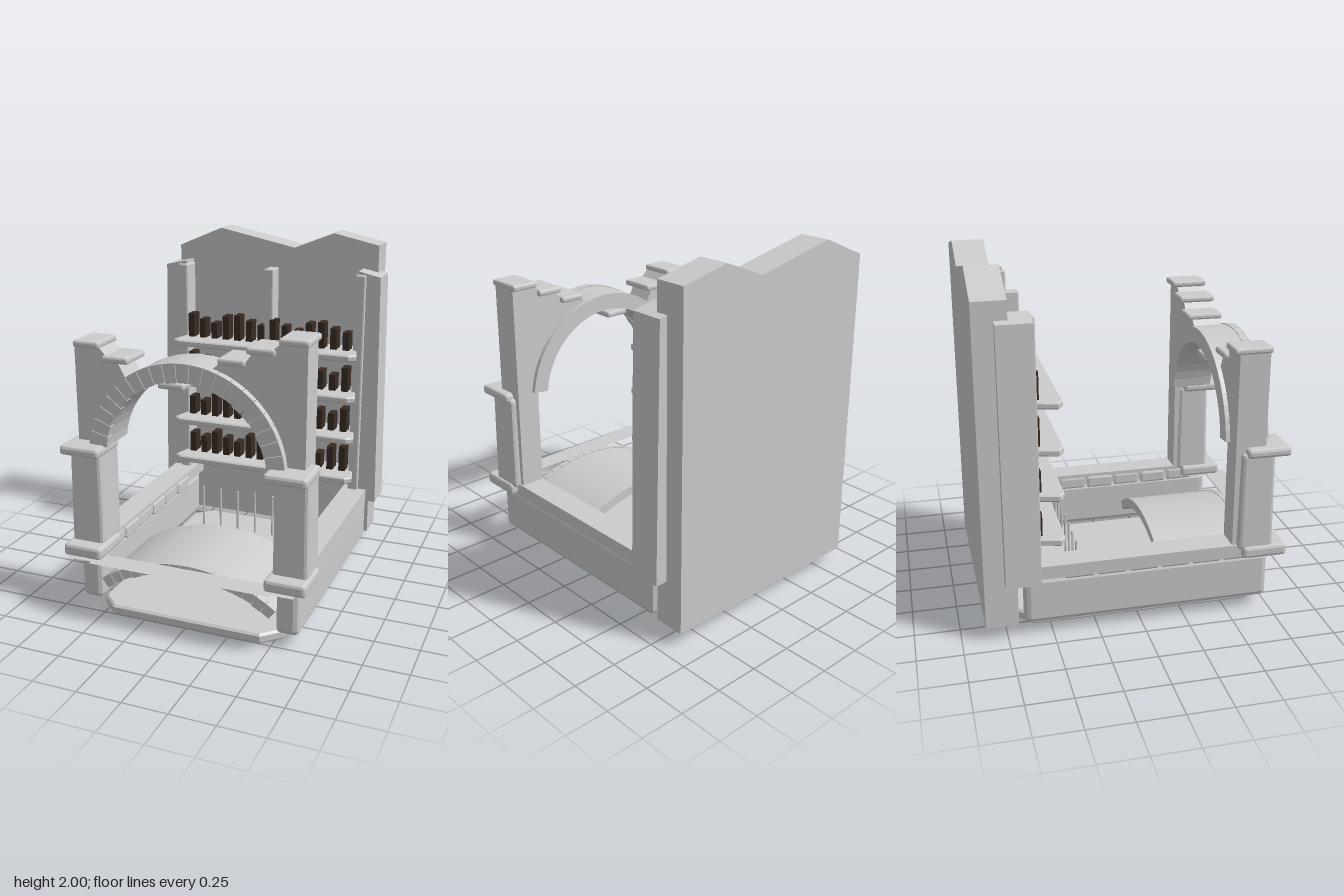
import * as THREE from 'three';
import { RoundedBoxGeometry } from 'three/addons/geometries/RoundedBoxGeometry.js';

const stone = new THREE.MeshStandardMaterial({ color: 0xcccccc, flatShading: true });
const sheet = new THREE.MeshStandardMaterial({ color: 0xcccccc, side: THREE.DoubleSide });
const leather = new THREE.MeshStandardMaterial({ color: 0x3a2c24 });

export function createModel() {
  const root = new THREE.Group();

  const add = (name, geo, mat = stone, parent = root) => {
    const mesh = new THREE.Mesh(geo, mat);
    mesh.name = name;
    parent.add(mesh);
    return mesh;
  };
  const group = (name) => {
    const g = new THREE.Group();
    g.name = name;
    root.add(g);
    return g;
  };
  // Block given by its limits, with optional worn edges
  const block = (name, x0, x1, y0, y1, z0, z1, r = 0, parent = root, mat = stone) => {
    const s = [x1 - x0, y1 - y0, z1 - z0];
    const geo = r ? new RoundedBoxGeometry(...s, 1, r) : new THREE.BoxGeometry(...s);
    const mesh = add(name, geo, mat, parent);
    mesh.position.set((x0 + x1) / 2, (y0 + y1) / 2, (z0 + z1) / 2);
    return mesh;
  };
  const outline = (pts) => new THREE.Shape(pts.map(([x, y]) => new THREE.Vector2(x, y)));
  // Outline in x, y extruded from z0 to z1
  const upright = (pts, z0, z1) =>
    new THREE.ExtrudeGeometry(outline(pts), { depth: z1 - z0, bevelEnabled: false }).translate(0, 0, z0);
  // Outline in x, z extruded from y0 to y1, with a small bevel
  const flat = (pts, y0, y1, b) =>
    new THREE.ExtrudeGeometry(outline(pts.map(([x, z]) => [x, -z])), {
      depth: y1 - y0 - 2 * b, bevelThickness: b, bevelSize: b, bevelOffset: -b, bevelSegments: 1,
    }).rotateX(-Math.PI / 2).translate(0, y0 + b, 0);
  // Ring sector around (0, cy); angles measured from the crown
  const sector = (cy, r0, r1, a0, a1, n) => {
    const pts = [];
    for (let i = 0; i <= n; i++) {
      const a = a0 + (a1 - a0) * i / n;
      pts.push([r1 * Math.sin(a), cy + r1 * Math.cos(a)]);
    }
    for (let i = n; i >= 0; i--) {
      const a = a0 + (a1 - a0) * i / n;
      pts.push([r0 * Math.sin(a), cy + r0 * Math.cos(a)]);
    }
    return pts;
  };
  // Arch: continuous vault behind, row of separate stones in front
  const arch = (name, cy, r0, r1, half, count, zBack, zFace, zFront) => {
    const g = group(name);
    add('vault', upright(sector(cy, r0 + 0.005, r1 - 0.005, -half, half, 24), zBack, zFace), stone, g);
    const step = 2 * half / count;
    for (let i = 0; i < count; i++) {
      const a = -half + i * step;
      const lift = (i % 3) * 0.003;
      add('archStone', upright(sector(cy, r0 + lift, r1, a + step * 0.02, a + step * 0.98, 2), zFace, zFront), stone, g);
    }
  };

  // Floor slab with cut corners
  add('floorSlab', flat([[-0.44, 0.76], [0.44, 0.76], [0.54, 0.66], [0.54, -0.59],
    [0.44, -0.69], [-0.44, -0.69], [-0.54, -0.59], [-0.54, 0.66]], 0, 0.06, 0.012));

  // Broken back wall
  add('backWall', upright([[-0.65, 0.08], [0.65, 0.08], [0.65, 1.94], [0.37, 2], [0.12, 1.9],
    [-0.37, 2], [-0.65, 1.88]], -0.87, -0.69));

  // Thin sill sheet in front of the lower arch
  const sill = new THREE.ShapeGeometry(outline([[-0.65, -0.74], [-0.65, -0.845], [-0.52, -0.845],
    [-0.52, -0.867], [0.52, -0.867], [0.52, -0.845], [0.65, -0.845], [0.65, -0.74]]));
  add('frontSill', sill.rotateX(-Math.PI / 2).translate(0, 0.355, 0), sheet);

  for (const s of [-1, 1]) {
    const side = group(s > 0 ? 'leftSide' : 'rightSide');
    const part = (name, x0, x1, ...rest) =>
      block(name, Math.min(s * x0, s * x1), Math.max(s * x0, s * x1), ...rest, side);

    // Low side wall, rim and the small stones below the rim
    part('sideWall', 0.515, 0.645, 0.07, 0.345, -0.65, 0.735, 0.03);
    part('rim', 0.51, 0.66, 0.345, 0.42, -0.7, 0.62, 0);
    for (let i = 0; i < 6; i++) {
      const z = -0.43 + i * 0.18;
      part('rimStone', 0.5 + (i % 2) * 0.006, 0.648, 0.325, 0.4, z, z + 0.165, 0.012);
    }

    // Rear pier, leaning slightly, with a post inside it
    const pier = upright([[0.56, 0.345], [0.72, 0.345], [0.695, 1.77], [0.56, 1.8]], -0.76, -0.57);
    if (s < 0) pier.rotateY(Math.PI).translate(0, 0, -1.33);
    add('rearPier', pier, stone, side);
    part('rearPost', 0.545, 0.61, 0.35, 1.78, -0.68, -0.55, 0.01);

    // Front pier, column, base and capital
    part('frontPier', 0.51, 0.65, 0.35, 1.02, 0.515, 0.685, 0);
    const column = part('frontColumn', 0.495, 0.69, 0.4, 0.97, 0.54, 0.74, 0.02);
    const p = column.geometry.attributes.position;
    for (let i = 0; i < p.count; i++) {
      const k = p.getY(i) > 0 ? 0.94 : 1;
      p.setX(i, p.getX(i) * k);
      p.setZ(i, p.getZ(i) * k);
    }
    column.geometry.computeVertexNormals();
    part('columnBase', 0.475, 0.705, 0.35, 0.42, 0.565, 0.82, 0.018);
    part('columnCapital', 0.465, 0.7, 0.945, 1.0, 0.57, 0.82, 0.018);
  }

  // Low arch under the floor and large front arch
  arch('lowerArch', -0.51, 0.815, 0.88, 0.63, 17, 0.16, 0.7, 0.735);
  arch('frontArch', 0.94, 0.455, 0.56, 1.46, 21, 0.49, 0.69, 0.735);

  // Ruined wall on both sides of the front arch, following its curve
  const curve = (a0, a1) => {
    const pts = [];
    for (let i = 0; i <= 10; i++) {
      const a = a0 + (a1 - a0) * i / 10;
      pts.push([0.55 * Math.sin(a), 0.94 + 0.55 * Math.cos(a)]);
    }
    return pts;
  };
  add('rightSpandrel', upright([[-0.65, 1], ...curve(-1.46, -0.68), [-0.39, 1.45], [-0.43, 1.45],
    [-0.5, 1.525], [-0.65, 1.525]], 0.515, 0.685));
  add('leftSpandrel', upright([[0.65, 1], [0.65, 1.63], [0.5, 1.63], [0.44, 1.575], [0.36, 1.575],
    [0.31, 1.505], [0.18, 1.505], [0.13, 1.46], ...curve(0.24, 1.46)], 0.515, 0.685));

  // Loose cap stones stepping along the ruined wall: x0, x1, y0
  [[-0.655, -0.5, 1.52], [-0.485, -0.33, 1.45], [-0.16, -0.01, 1.342],
    [0.175, 0.325, 1.5], [0.33, 0.485, 1.57], [0.5, 0.66, 1.63]].forEach(([x0, x1, y]) =>
    block('capStone', x0, x1, y, y + 0.037, 0.485, 0.7, 0.012));

  // Bookcase: centre post, shelves with cut corners, rows of books
  block('shelfPost', -0.033, 0.03, 0.45, 1.78, -0.66, -0.55, 0.008);
  const plan = [[-0.6, -0.44], [-0.56, -0.41], [0.56, -0.41], [0.6, -0.44],
    [0.55, -0.64], [0.52, -0.667], [-0.52, -0.667], [-0.55, -0.64]];
  const heights = [0.13, 0.15, 0.12, 0.11, 0.16, 0.1, 0.15];
  for (let row = 0; row < 4; row++) {
    const y = 0.54 + row * 0.26;
    add('shelf', flat(plan, y - 0.04, y, 0.008));
    const books = group('bookRow');
    for (let i = 0; i < 14; i++) {
      const x = -0.513 + i * 0.0785;
      const h = heights[(i * 3 + row * 2) % 7];
      block('book', x - 0.02, x + 0.02, y, y + h, -0.61, -0.53, 0, books, leather);
    }
  }

  // Grate of thin upright bars
  const grate = group('grate');
  for (let i = 0; i < 7; i++) {
    const bar = add('grateBar', new THREE.CylinderGeometry(0.007, 0.007, 0.265, 6), stone, grate);
    bar.position.set(-0.343 + i * 0.118, 0.26, -0.31);
  }

  return root;
}
